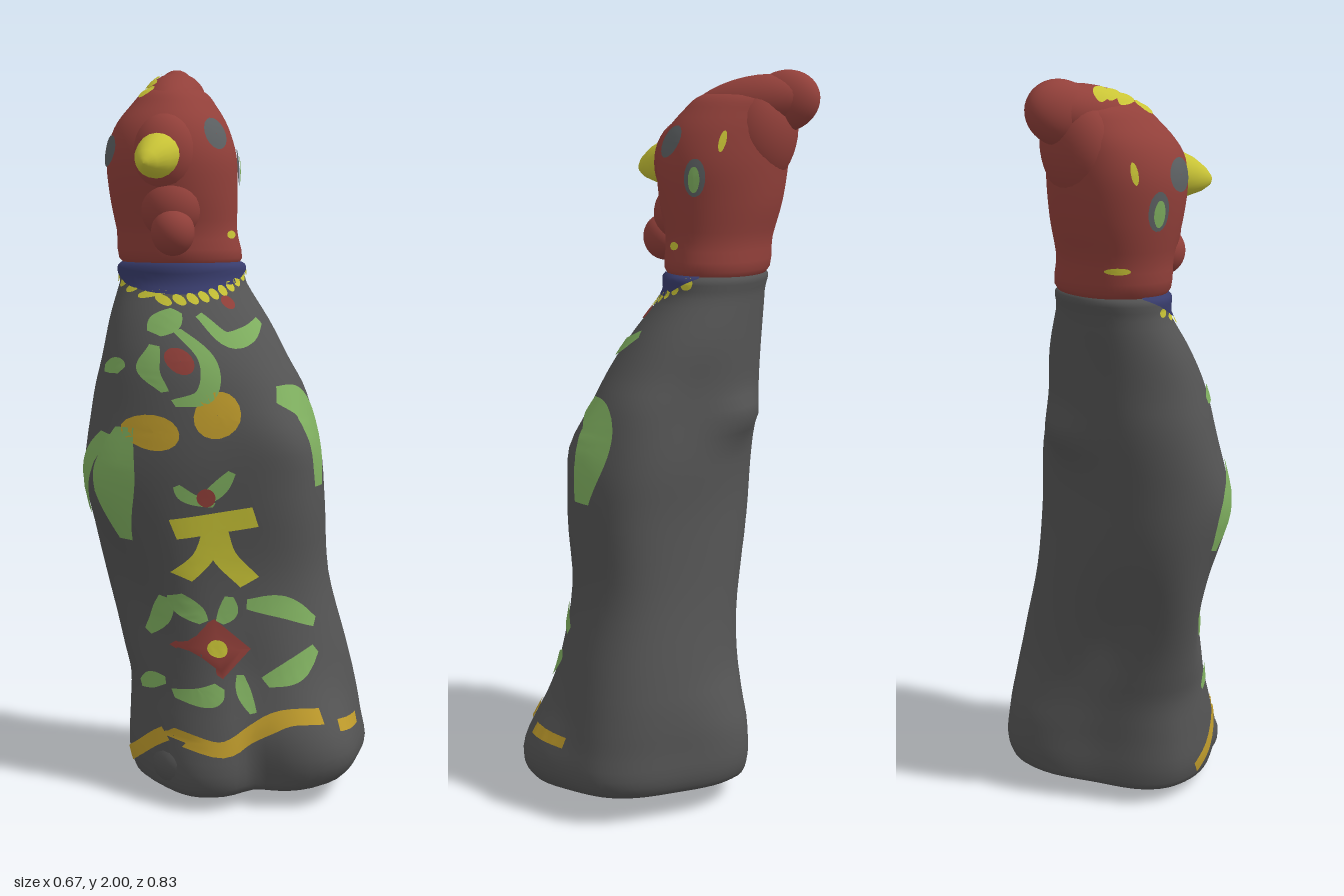
import * as THREE from 'three';

const S = Math.SQRT1_2;
const mat = (name, color) => Object.assign(new THREE.MeshStandardMaterial({ color }), { name });
const M = {
  gray: mat('charcoal cloth', 0x545454), red: mat('brick red', 0x92403a), green: mat('leaf green', 0x80b060),
  yellow: mat('lemon yellow', 0xc9c436), ochre: mat('ochre', 0xc09c2c), blue: mat('collar blue', 0x383c6c),
  eye: mat('eye gray', 0x5c6062),
};

// The figure faces diagonally: u is forward, v is its own left
const P = (u, v, y) => new THREE.Vector3((v - u) * S, y, (u + v) * S);
const spow = (a, p) => Math.sign(a) * Math.pow(Math.abs(a), 2 / p);

// Cross-sections: y, centre u, half u, centre v, half v, roundness
const BODY = [
  [0.05, 0, 0, 0.05, 0, 2], [0.042, 0, 0.25, 0.05, 0.27, 1.9], [0.09, 0, 0.305, 0.06, 0.335, 1.8],
  [0.2, 0, 0.3, 0.055, 0.33, 1.8], [0.3, 0, 0.27, 0.045, 0.32, 1.9], [0.4, 0, 0.242, 0.02, 0.32, 2],
  [0.6, -0.007, 0.217, -0.025, 0.32, 2], [0.8, -0.007, 0.208, -0.05, 0.33, 2], [0.95, -0.012, 0.208, -0.055, 0.325, 2],
  [1.1, -0.028, 0.204, -0.07, 0.3, 2], [1.2, -0.045, 0.192, -0.09, 0.262, 2], [1.3, -0.075, 0.165, -0.11, 0.225, 2],
  [1.4, -0.11, 0.132, -0.13, 0.18, 2], [1.46, -0.115, 0.126, -0.135, 0.16, 2], [1.47, -0.115, 0, -0.135, 0, 2],
];
const HEAD = [
  [1.452, -0.115, 0, -0.135, 0, 2], [1.452, -0.115, 0.128, -0.135, 0.161, 2], [1.55, -0.115, 0.143, -0.15, 0.17, 2],
  [1.65, -0.117, 0.168, -0.16, 0.18, 2], [1.75, -0.12, 0.18, -0.164, 0.182, 2], [1.83, -0.132, 0.172, -0.165, 0.16, 2],
  [1.89, -0.157, 0.15, -0.163, 0.122, 2], [1.935, -0.185, 0.12, -0.163, 0.08, 2], [1.955, -0.2, 0, -0.165, 0, 2],
];
// Swellings and hollows of the robe: angle, y, amount, angular width, height
const BUMPS = [
  [0.8, 0.15, 0.065, 0.35, 0.13], [-0.35, 0.08, 0.03, 0.3, 0.1], [2.36, 0.15, -0.025, 0.4, 0.2],
  [3.93, 0.15, -0.055, 0.5, 0.2], [3.93, 0.52, -0.045, 0.5, 0.18], [2.3, 0.8, -0.02, 0.5, 0.3],
  [0.75, 0.85, 0.042, 0.4, 0.25], [0.75, 1.0, 0.022, 0.35, 0.08], [-1.05, 0.88, 0.03, 0.4, 0.13],
  [-0.85, 0.52, -0.045, 0.45, 0.17], [3.14, 1.07, 0.03, 0.35, 0.05], [2.3, 1.12, -0.025, 0.5, 0.12],
  [0.2, 0.3, -0.02, 0.25, 0.2], [0.22, 0.08, -0.035, 0.2, 0.1],
];
function swell(a, y) {
  return BUMPS.reduce((sum, [ba, by, amp, wa, wy]) => {
    const d = Math.atan2(Math.sin(a - ba), Math.cos(a - ba)) / wa, e = (y - by) / wy;
    return sum + amp * Math.exp(-d * d - e * e);
  }, 0);
}

// Point on a lofted skin at row position t and angle a
function skin(rows, t, a, grow = 0) {
  const last = rows.length - 1, i = Math.min(Math.floor(t), last - 1), f = t - i;
  const r = (k) => rows[Math.max(0, Math.min(last, k))];
  const [y, uc, hu, vc, hv, p] = rows[0].map((_, c) => {
    const [p0, p1, p2, p3] = [r(i - 1)[c], r(i)[c], r(i + 1)[c], r(i + 2)[c]];
    const m1 = (p2 - p0) / 2, m2 = (p3 - p1) / 2, f2 = f * f, f3 = f2 * f;
    return (2 * f3 - 3 * f2 + 1) * p1 + (f3 - 2 * f2 + f) * m1 + (3 * f2 - 2 * f3) * p2 + (f3 - f2) * m2;
  });
  const k = 1 + 0.014 * Math.sin(3 * a + 6 * y) * Math.sin(2 * a - 9 * y + 1);
  const out = grow + (rows === BODY ? swell(a, y) * Math.min(1, hu / 0.2) : 0);
  const point = P(uc + (hu * k + out) * spow(Math.cos(a), p), vc + (hv * k + out) * spow(Math.sin(a), p), y);
  // The hem sits a little higher on one side
  point.y += 0.09 * point.x * Math.max(0, 1 - y / 0.3);
  return point;
}

// Grid surface from fn(s, a); closed wraps around the angle
function grid(fn, ns, na, closed) {
  const pos = [], idx = [], w = closed ? na : na + 1;
  for (let i = 0; i <= ns; i++) for (let j = 0; j < w; j++) pos.push(...fn(i / ns, j / na).toArray());
  for (let i = 0; i < ns; i++) for (let j = 0; j < na; j++) {
    const a = i * w + j, b = i * w + (j + 1) % w;
    idx.push(a, b, a + w, b, b + w, a + w);
  }
  const g = new THREE.BufferGeometry();
  g.setAttribute('position', new THREE.Float32BufferAttribute(pos, 3));
  g.setIndex(idx);
  g.computeVertexNormals();
  return g;
}

export function createModel() {
  const group = new THREE.Group();
  const add = (name, geo, m) => {
    const mesh = new THREE.Mesh(geo, m);
    mesh.name = name;
    group.add(mesh);
    return mesh;
  };
  const loft = (name, rows, m) =>
    add(name, grid((s, a) => skin(rows, s * (rows.length - 1), a * Math.PI * 2), (rows.length - 1) * 4, 64, true), m);
  // Ellipsoid with radii along v, y and u, tilted in the forward plane
  const blob = (name, u, v, y, rv, ry, ru, m, tilt = 0) => {
    const g = new THREE.SphereGeometry(1, 28, 20).scale(rv, ry, ru).rotateX(tilt).rotateY(-Math.PI / 4);
    const p = P(u, v, y);
    return add(name, g.translate(p.x, p.y, p.z), m);
  };

  // Robe and the lobes under its hem
  const targets = [
    loft('body', BODY, M.gray),
    blob('leftFoot', 0.06, 0.2, 0.13, 0.13, 0.1, 0.22, M.gray),
    blob('rightFoot', 0.12, -0.08, 0.1, 0.12, 0.1, 0.165, M.gray),
    // Head, crest and wattle
    loft('head', HEAD, M.red),
    blob('crest', -0.185, -0.165, 1.895, 0.09, 0.085, 0.19, M.red, 0.25),
    blob('crestTip', -0.295, -0.172, 1.918, 0.062, 0.082, 0.1, M.red, 0.25),
    blob('nape', -0.225, -0.165, 1.82, 0.12, 0.15, 0.1, M.red, -0.25),
    blob('wattle', 0.045, -0.14, 1.545, 0.06, 0.065, 0.062, M.red),
    blob('chin', 0.0, -0.15, 1.61, 0.085, 0.09, 0.075, M.red),
    blob('brow', -0.01, -0.165, 1.75, 0.1, 0.12, 0.09, M.red),
  ];

  // Beak
  const profile = [[0.066, -0.06], [0.064, 0], [0.052, 0.045], [0.032, 0.085], [0.014, 0.106], [0, 0.11]];
  const beak = new THREE.LatheGeometry(profile.map(([r, h]) => new THREE.Vector2(r, h)), 20);
  const b = P(0.05, -0.178, 1.75);
  add('beak', beak.rotateX(Math.PI / 2 + 0.2).rotateY(-Math.PI / 4 - 0.25).translate(b.x, b.y, b.z), M.yellow);

  // Collar wrapping the front of the neck
  const rowAt = (y) => {
    const i = BODY.findIndex((r, k) => k > 1 && r[0] > y) - 1;
    return i + (y - BODY[i][0]) / (BODY[i + 1][0] - BODY[i][0]);
  };
  add('collar', grid((s, q) => {
    const a = (q * 2 - 1) * 1.75, y0 = 1.452 - 0.08 * Math.cos(a * 0.9);
    return skin(BODY, rowAt(y0 + (1.459 - y0) * s), a, 0.006);
  }, 5, 32, false), M.blue);

  // Projection directions for painted details
  const V = (x, y, z) => new THREE.Vector3(x, y, z);
  const VIEW = {
    front: [V(1, 0, 0), V(0, 1, 0), V(0, 0, 1)], top: [V(1, 0, 0), V(0, 0, -1), V(0, 1, 0)],
    rightSide: [V(-S, 0, S), V(0, 1, 0), V(-S, 0, -S)], leftSide: [V(S, 0, -S), V(0, 1, 0), V(S, 0, S)],
  };
  const ray = new THREE.Raycaster();
  // Drapes a flat shape onto the figure as a thin painted layer
  function paint(name, flat, m, view, lift = 0.005) {
    const [R, U, B] = VIEW[view], p = flat.attributes.position, ok = [];
    for (let i = 0; i < p.count; i++) {
      const o = V(0, 0, 0).addScaledVector(R, p.getX(i)).addScaledVector(U, p.getY(i)).addScaledVector(B, 4);
      ray.set(o, B.clone().negate());
      const hit = ray.intersectObjects(targets, false)[0];
      ok.push(!!hit);
      if (hit) {
        const q = hit.point.addScaledVector(hit.face.normal, lift);
        p.setXYZ(i, q.x, q.y, q.z);
      }
    }
    const src = flat.index.array, keep = [];
    for (let i = 0; i < src.length; i += 3) {
      const t = [src[i], src[i + 1], src[i + 2]];
      if (t.every((k) => ok[k])) keep.push(...t);
    }
    flat.setIndex(keep);
    flat.computeVertexNormals();
    add(name, flat, m);
  }
  const dot = (name, m, view, x, y, rx, ry = rx, rot = 0, lift = 0.005, sides = 18) =>
    paint(name, new THREE.RingGeometry(0.01, 1, sides, 4).scale(rx, ry, 1).rotateZ(rot).translate(x, y, 0), m, view, lift);
  // Ribbon along points, tapered to leaf tips when leaf is true
  function strip(name, m, view, pts, width, leaf = false) {
    const c = new THREE.CatmullRomCurve3(pts.map(([x, y]) => V(x, y, 0)));
    const g = new THREE.PlaneGeometry(1, 1, 20, 3), p = g.attributes.position;
    for (let i = 0; i < p.count; i++) {
      const s = p.getX(i) + 0.5, q = c.getPoint(s), t = c.getTangent(s);
      const h = p.getY(i) * width * (leaf ? 0.45 + 0.55 * Math.sin(Math.PI * s) : 1);
      p.setXY(i, q.x - t.y * h, q.y + t.x * h);
    }
    paint(name, g, m, view);
  }

  // Leaves on the robe
  [
    [0.045, [-0.2, 1.27], [-0.17, 1.3], [-0.14, 1.33]], [0.045, [-0.1, 1.32], [-0.06, 1.255], [0, 1.265], [0.06, 1.3]],
    [0.042, [-0.16, 1.28], [-0.125, 1.2], [-0.15, 1.11], [-0.21, 1.09]], [0.03, [-0.22, 1.12], [-0.235, 1.17], [-0.21, 1.24]],
    [0.035, [-0.115, 0.91], [-0.145, 0.86], [-0.18, 0.82]], [0.03, [-0.22, 0.87], [-0.2, 0.84], [-0.15, 0.82]],
    [0.06, [-0.09, 0.55], [-0.01, 0.54], [0.08, 0.49]], [0.06, [-0.07, 0.34], [0, 0.37], [0.07, 0.42]],
    [0.04, [-0.125, 0.57], [-0.13, 0.53], [-0.15, 0.5]], [0.045, [-0.22, 0.57], [-0.2, 0.53], [-0.18, 0.5]],
    [0.035, [-0.12, 0.36], [-0.12, 0.31], [-0.11, 0.26]], [0.05, [-0.24, 0.3], [-0.2, 0.3], [-0.17, 0.33]],
  ].forEach(([w, ...pts]) => strip('robeLeaf', M.green, 'front', pts, w, true));
  strip('wingLeaf', M.green, 'front', [[0.015, 1.11], [0.09, 1.08], [0.12, 1.0], [0.115, 0.86]], 0.1, true);
  [
    [0.055, [0.145, 1.02], [0.147, 0.87], [0.137, 0.71]], [0.055, [0.12, 1.0], [0.08, 0.88], [0.045, 0.77]],
    [0.045, [0.05, 1.17], [0.075, 1.18], [0.1, 1.17]],
    [0.05, [0.18, 0.56], [0.165, 0.5], [0.135, 0.45]], [0.045, [0.13, 0.3], [0.165, 0.32], [0.2, 0.33]],
  ].forEach(([w, ...pts]) => strip('sideLeaf', M.green, 'rightSide', pts, w, true));

  // Blossoms, bow and hem bands
  dot('blossom', M.red, 'front', -0.16, 0.43, 0.07, 0.08, 0, 0.005, 4);
  dot('blossomCentre', M.yellow, 'front', -0.16, 0.43, 0.02, 0.024, 0, 0.009);
  dot('bud', M.red, 'front', -0.18, 1.2, 0.026, 0.035);
  dot('bud', M.red, 'front', -0.165, 0.84, 0.018, 0.025, 0, 0.009);
  dot('bud', M.red, 'front', -0.01, 1.35, 0.018);
  dot('petal', M.ochre, 'front', -0.13, 1.06, 0.045, 0.065, -0.4);
  dot('petal', M.ochre, 'front', -0.25, 1.01, 0.042, 0.048);
  strip('bow', M.yellow, 'front', [[-0.225, 0.75], [-0.15, 0.77], [-0.07, 0.79]], 0.055);
  strip('bow', M.yellow, 'front', [[-0.15, 0.76], [-0.17, 0.68], [-0.21, 0.62]], 0.04);
  strip('bow', M.yellow, 'front', [[-0.15, 0.76], [-0.13, 0.68], [-0.08, 0.61]], 0.05);
  strip('hemBand', M.ochre, 'front', [[-0.28, 0.2], [-0.2, 0.17], [-0.12, 0.21], [-0.05, 0.25], [0.035, 0.25]], 0.04);
  strip('hemBand', M.ochre, 'front', [[0.08, 0.22], [0.13, 0.215], [0.19, 0.21]], 0.03);
  strip('hemBand', M.ochre, 'rightSide', [[0.085, 0.08], [0.155, 0.12], [0.235, 0.19]], 0.04);

  // Bead necklace
  for (let i = 0; i < 10; i++) {
    const t = i / 9;
    dot('bead', M.yellow, 'front', -0.15 + 0.255 * t, 1.357 + 0.08 * t * t, 0.012, 0.015);
  }
  for (let i = 0; i < 4; i++) dot('bead', M.yellow, 'rightSide', -0.08 + i * 0.035, 1.415 - i * 0.014, 0.012);

  // Eyes, ears and small yellow marks on the head
  dot('leftEye', M.eye, 'front', -0.005, 1.81, 0.042);
  dot('rightEye', M.eye, 'rightSide', -0.045, 1.765, 0.042);
  for (const [view, x, y] of [['leftSide', 0.12, 1.72], ['rightSide', -0.12, 1.68]]) {
    dot('earPatch', M.eye, view, x, y, 0.03, 0.05);
    dot('earDrop', M.green, view, x, y - 0.005, 0.016, 0.034, 0, 0.009);
    dot('cheekMark', M.yellow, view, x * 1.55, y + 0.095, 0.009, 0.028, -x);
  }
  [[-0.1, 0.22, 0.022, 0.024], [-0.06, 0.255, 0.015, 0.038], [-0.03, 0.28, 0.014, 0.034], [-0.008, 0.305, 0.017, 0.03]]
    .forEach(([x, y, rx, ry]) => dot('crestMark', M.yellow, 'top', x, y, rx, ry, -0.3));
  dot('neckMark', M.yellow, 'front', 0.045, 1.535, 0.018, 0.011);
  dot('neckMark', M.yellow, 'rightSide', -0.2, 1.53, 0.025, 0.009);
  return group;
}
